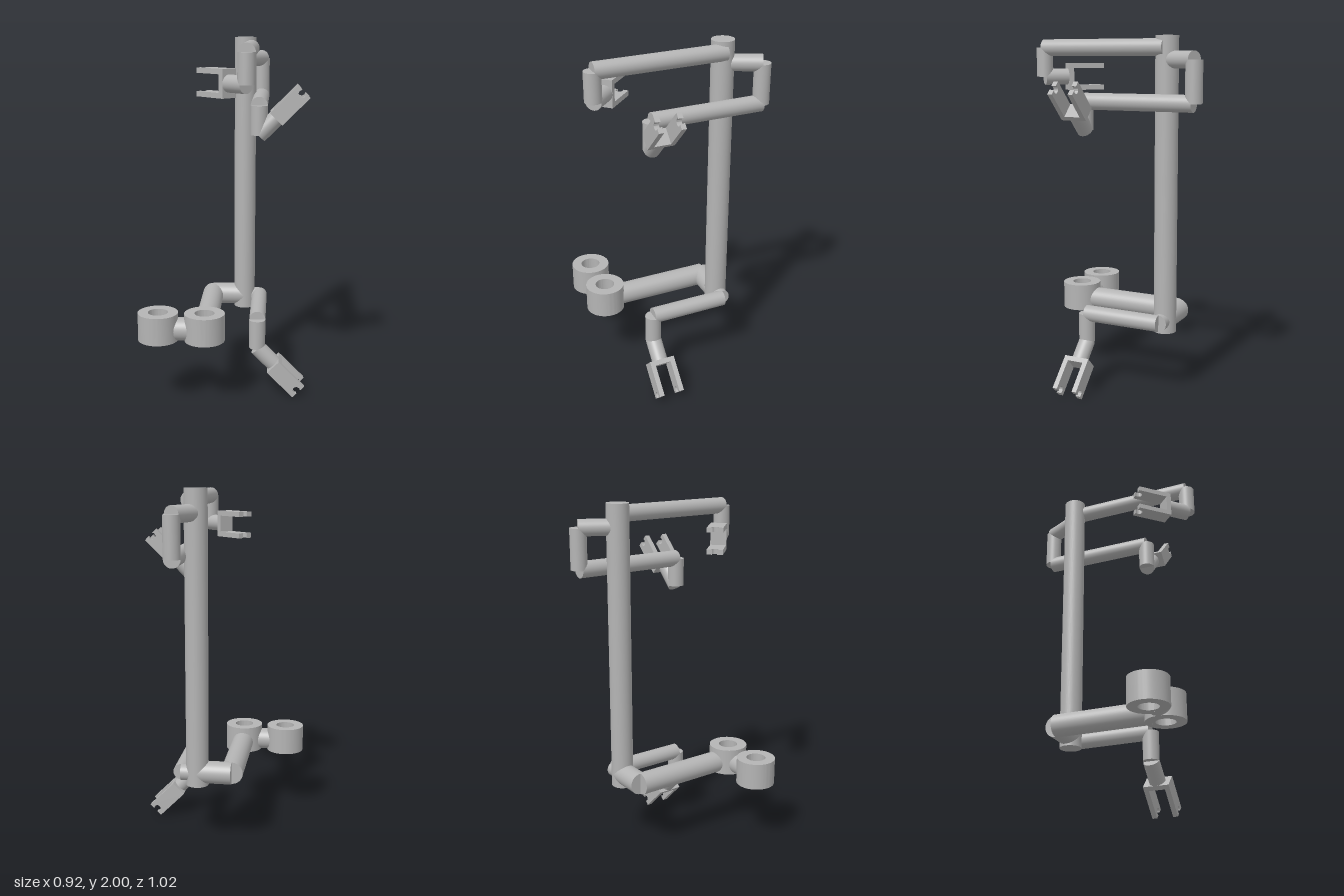
import * as THREE from 'three';
import { toCreasedNormals } from 'three/addons/utils/BufferGeometryUtils.js';

const R_POST = 0.063; // post and thick pipes
const R_ARM = 0.046;  // thin arms

export function createModel() {
  const model = new THREE.Group();
  model.name = 'stand';
  const grey = new THREE.MeshStandardMaterial({ color: 0xb4b4b4 });
  grey.name = 'grey';

  const add = (parent, name, geometry) => {
    const mesh = new THREE.Mesh(geometry, grey);
    mesh.name = name;
    parent.add(mesh);
    return mesh;
  };

  // Straight pipe with flat ends between two points
  const pipe = (parent, name, from, to, radius) => {
    const a = new THREE.Vector3(...from);
    const b = new THREE.Vector3(...to);
    const dir = b.clone().sub(a);
    const mesh = add(parent, name, new THREE.CylinderGeometry(radius, radius, dir.length(), 48));
    mesh.position.copy(a).add(b).multiplyScalar(0.5);
    mesh.quaternion.setFromUnitVectors(new THREE.Vector3(0, 1, 0), dir.normalize());
  };

  // Chain of pipes meeting on their centre lines
  const pipeRun = (name, radius, points) => {
    const group = new THREE.Group();
    group.name = name;
    for (let i = 0; i < points.length - 1; i++) {
      pipe(group, name + 'Section' + (i + 1), points[i], points[i + 1], radius);
    }
    model.add(group);
  };

  // Two-pronged clip: local x is the reach, z is the spacing of the prongs
  const START = 0.13, END = 0.335, HALF = 0.046, THICK = 0.028, WIDTH = 0.15;
  const addClip = (name, joint, reach, spacing) => {
    const group = new THREE.Group();
    group.name = name;
    const d = new THREE.Vector3(...reach).normalize();
    const n = new THREE.Vector3(...spacing);
    group.quaternion.setFromRotationMatrix(
      new THREE.Matrix4().makeBasis(d, n.clone().cross(d), n));
    group.position.set(...joint);

    pipe(group, 'neck', [0, 0, 0], [START + 0.01, 0, 0], R_ARM);

    const base = add(group, 'clipBase', new THREE.BoxGeometry(THICK, HALF * 2, WIDTH - THICK * 2));
    base.position.x = START + THICK / 2;

    // Prong with a round notch open at the tip
    const r = 0.02, inset = 0.0145;
    const angle = Math.acos(inset / r);
    const outline = new THREE.Shape();
    outline.moveTo(START, -HALF);
    outline.lineTo(END, -HALF);
    outline.lineTo(END, -r * Math.sin(angle));
    outline.absarc(END - inset, 0, r, -angle, angle, true);
    outline.lineTo(END, HALF);
    outline.lineTo(START, HALF);
    outline.closePath();
    const prong = toCreasedNormals(new THREE.ExtrudeGeometry(outline,
      { depth: THICK, bevelEnabled: false, curveSegments: 24 }), 0.5);
    add(group, 'prong', prong).position.z = -WIDTH / 2;
    add(group, 'prong', prong).position.z = WIDTH / 2 - THICK;
    model.add(group);
  };

  // Upright post
  pipe(model, 'post', [0.096, 0.37, -0.275], [0.096, 2, -0.275], R_POST);

  // Lower cup holder: bent pipe, two open rings and their link
  const cupY = 0.443, ringZ = 0.364, ringX = [-0.096, -0.352];
  pipeRun('cupArm', R_POST,
    [[0.096, cupY, -0.275], [-0.096, cupY, -0.275], [-0.096, cupY, ringZ - 0.075]]);
  pipe(model, 'ringLink', [ringX[0] - 0.075, cupY, ringZ], [ringX[1] + 0.075, cupY, ringZ], R_POST);

  const ringShape = new THREE.Shape().absarc(0, 0, 0.111, 0, Math.PI * 2, false);
  ringShape.holes.push(new THREE.Path().absarc(0, 0, 0.055, 0, Math.PI * 2, true));
  const ring = toCreasedNormals(new THREE.ExtrudeGeometry(ringShape,
    { depth: 0.155, bevelEnabled: false, curveSegments: 48 }).rotateX(-Math.PI / 2), 0.5);
  for (const x of ringX) add(model, 'cupRing', ring).position.set(x, 0.381, ringZ);

  // Lower arm with a clip pointing down and outwards
  const lowJoint = [0.188, 0.27, 0.175];
  pipeRun('lowerArm', R_ARM,
    [[0.096, 0.437, -0.275], [0.188, 0.437, -0.275], [0.188, 0.437, 0.175], lowJoint]);
  addClip('lowerClip', lowJoint, [1, -1, 0], [0, 0, 1]);

  // Middle arm, leaving the post backwards and returning forwards
  const midJoint = [0.188, 1.49, 0.175];
  pipeRun('middleArm', R_ARM,
    [[0.096, 1.873, -0.275], [0.188, 1.873, -0.467], [0.188, 1.648, -0.467],
      [0.188, 1.648, 0.175], midJoint]);
  addClip('middleClip', midJoint, [1, 1, 0], [0, 0, 1]);

  // Top arm with a level clip pointing back and inwards
  const topJoint = [0.13, 1.777, 0.463];
  pipeRun('topArm', R_ARM, [[0.13, 1.938, -0.275], [0.13, 1.938, 0.463], topJoint]);
  addClip('topClip', topJoint, [-1, 0, -1], [0, 1, 0]);

  return model;
}
